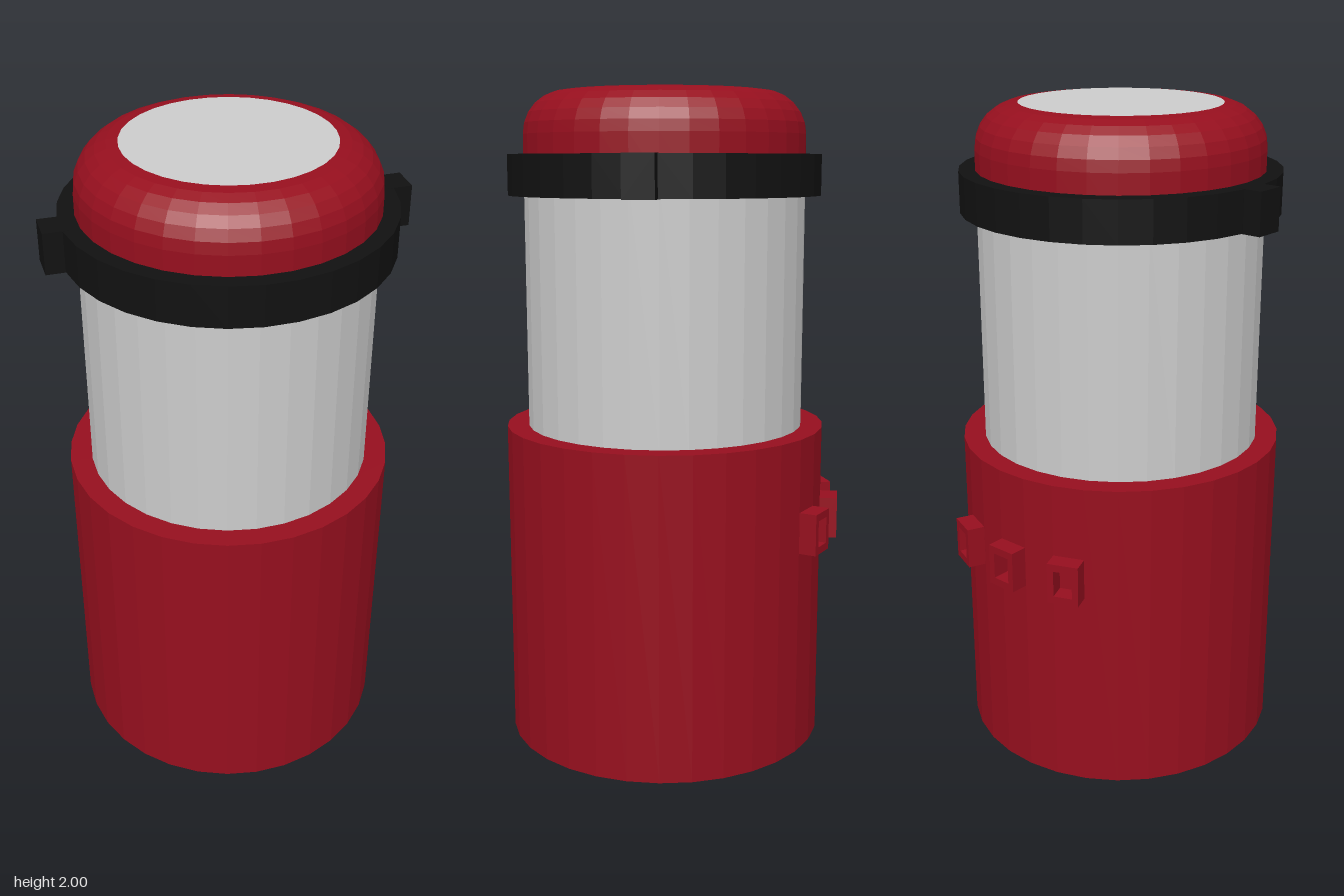
import * as THREE from 'three';

const SIDES = 32;
const CENTER_Z = 0.025;

const material = (color) => new THREE.MeshStandardMaterial({ color, flatShading: true });

// Faceted solid of revolution from [radius, y] pairs, listed from the bottom up
function turned(name, profile, mat) {
  const points = profile.map(([r, y]) => new THREE.Vector2(r, y));
  const mesh = new THREE.Mesh(new THREE.LatheGeometry(points, SIDES), mat);
  mesh.name = name;
  return mesh;
}

// Square-cornered frame with a window, extruded outward along +z
function frameGeometry(w, h, holeW, holeH, depth) {
  const rect = (s, a, b) => s.moveTo(-a / 2, -b / 2).lineTo(a / 2, -b / 2).lineTo(a / 2, b / 2).lineTo(-a / 2, b / 2).closePath();
  const shape = rect(new THREE.Shape(), w, h);
  shape.holes.push(rect(new THREE.Path(), holeW, holeH));
  return new THREE.ExtrudeGeometry(shape, { depth, bevelEnabled: false });
}

export function createModel() {
  const red = material(0x960f1e);
  const black = material(0x111111);
  const grey = material(0xcccccc);

  const model = new THREE.Group();
  model.name = 'canister';
  model.position.z = CENTER_Z;

  // Lower sleeve with a slightly recessed foot
  model.add(turned('sleeve', [[0, 0], [0.423, 0], [0.423, 0.025], [0.488, 0.025], [0.488, 1], [0.42, 1]], red));

  // Bare cylinder
  model.add(turned('cylinder', [[0.422, 0.99], [0.422, 1.75]], grey));

  // Rounded cap
  const cap = [[0.422, 1.75]];
  for (let i = 0; i <= 6; i++) {
    const a = (i / 6) * Math.PI / 2;
    cap.push([0.295 + 0.127 * Math.cos(a), 1.873 + 0.127 * Math.sin(a)]);
  }
  model.add(turned('cap', cap, red));

  // Flat disc on top
  model.add(turned('topDisc', [[0.295, 2], [0, 2]], grey));

  // Clamp band and its two opposite lugs
  const band = new THREE.Group();
  band.name = 'clampBand';
  band.add(turned('ring', [[0.421, 1.695], [0.47, 1.695], [0.47, 1.815], [0.421, 1.815]], black));
  const half = Math.PI / SIDES; // parts sit on the middle of a facet
  for (const turn of [0, Math.PI]) {
    const pivot = new THREE.Group();
    pivot.name = 'lug';
    pivot.rotation.y = turn - half;
    const lug = new THREE.Mesh(new THREE.BoxGeometry(0.073, 0.122, 0.09), black);
    lug.name = 'lugBlock';
    lug.position.set(0.4865, 1.755, 0);
    pivot.add(lug);
    band.add(pivot);
  }
  model.add(band);

  // Three small open frames around the back of the sleeve
  const frame = frameGeometry(0.094, 0.125, 0.056, 0.08, 0.06);
  for (const step of [-3, 1, 5]) {
    const pivot = new THREE.Group();
    pivot.name = 'backFrame';
    pivot.rotation.y = Math.PI - step * half;
    const mesh = new THREE.Mesh(frame, red);
    mesh.name = 'frame';
    mesh.position.set(0, 0.7175, 0.479);
    pivot.add(mesh);
    model.add(pivot);
  }

  const root = new THREE.Group();
  root.name = 'model';
  root.add(model);
  return root;
}
